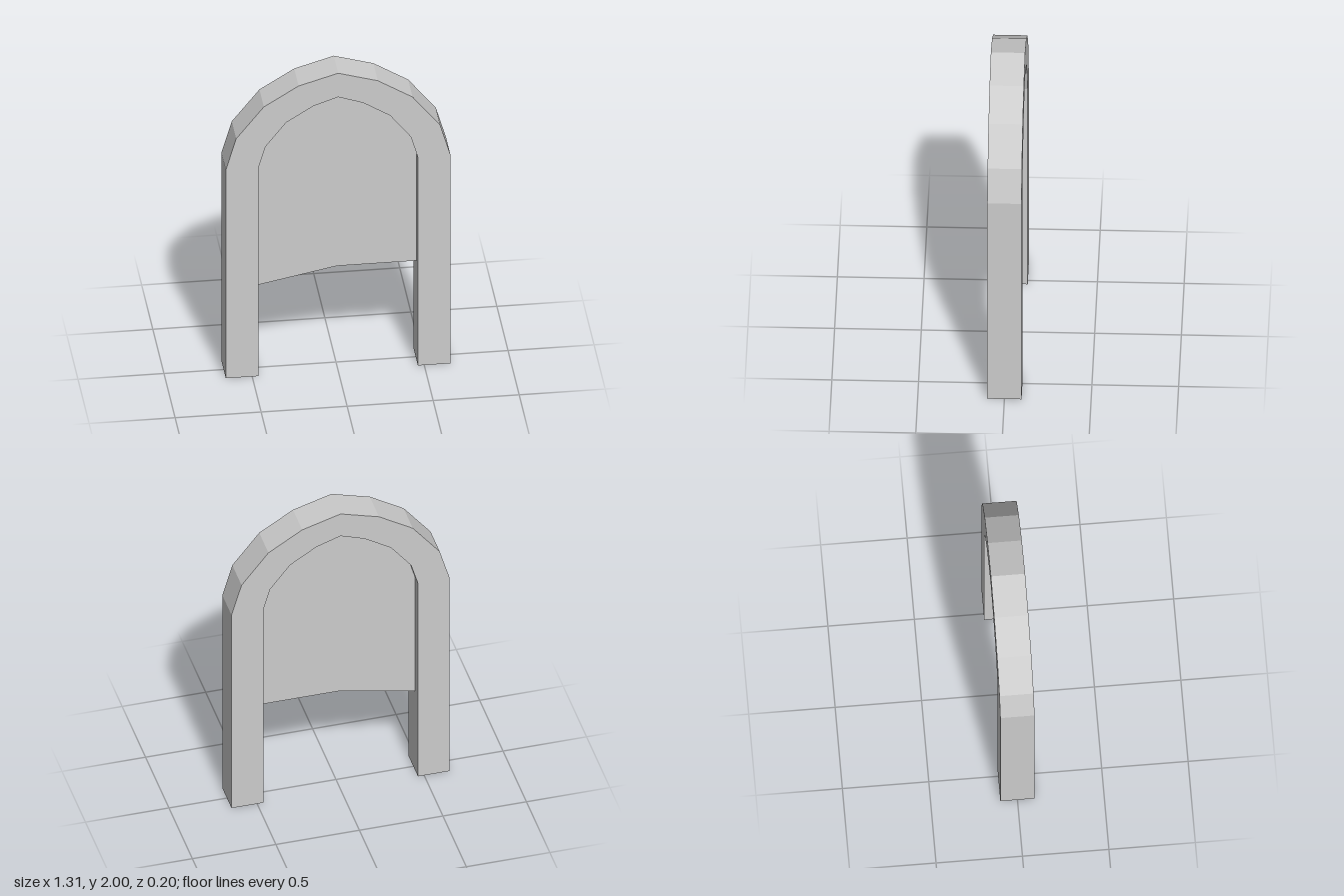
import * as THREE from 'three';

// Half profiles, from the springing line up to the crown
const OUTER = [[0.653, 1.4], [0.593, 1.605], [0.432, 1.807], [0.23, 1.932], [0, 2]];
const INNER = [[0.463, 1.4], [0.422, 1.54], [0.302, 1.692], [0.145, 1.79], [0, 1.84]];

// Mirrors a half profile into a full arch running from +x to -x
function fullArch(half) {
  const mirrored = half.slice(0, -1).reverse().map(([x, y]) => [-x, y]);
  return [...half, ...mirrored];
}

// Extrudes an outline to a slab centred on z = 0
function slab(name, points, depth, material) {
  const shape = new THREE.Shape(points.map(([x, y]) => new THREE.Vector2(x, y)));
  const geometry = new THREE.ExtrudeGeometry(shape, { depth, bevelEnabled: false });
  geometry.translate(0, 0, -depth / 2);
  const mesh = new THREE.Mesh(geometry, material);
  mesh.name = name;
  return mesh;
}

export function createModel() {
  const group = new THREE.Group();
  group.name = 'archedDoorway';

  const stone = new THREE.MeshStandardMaterial({ color: 0xcccccc });
  stone.name = 'light grey';

  const outer = fullArch(OUTER);
  const inner = fullArch(INNER);

  // Arched frame with two straight legs
  group.add(slab('archFrame', [
    [0.653, 0], ...outer, [-0.653, 0],
    [-0.463, 0], ...inner.slice().reverse(), [0.463, 0],
  ], 0.198, stone));

  // Recessed panel with an uneven lower edge
  group.add(slab('panel', [
    [0.463, 0.67], ...inner, [-0.463, 0.577], [0, 0.67],
  ], 0.08, stone));

  return group;
}
